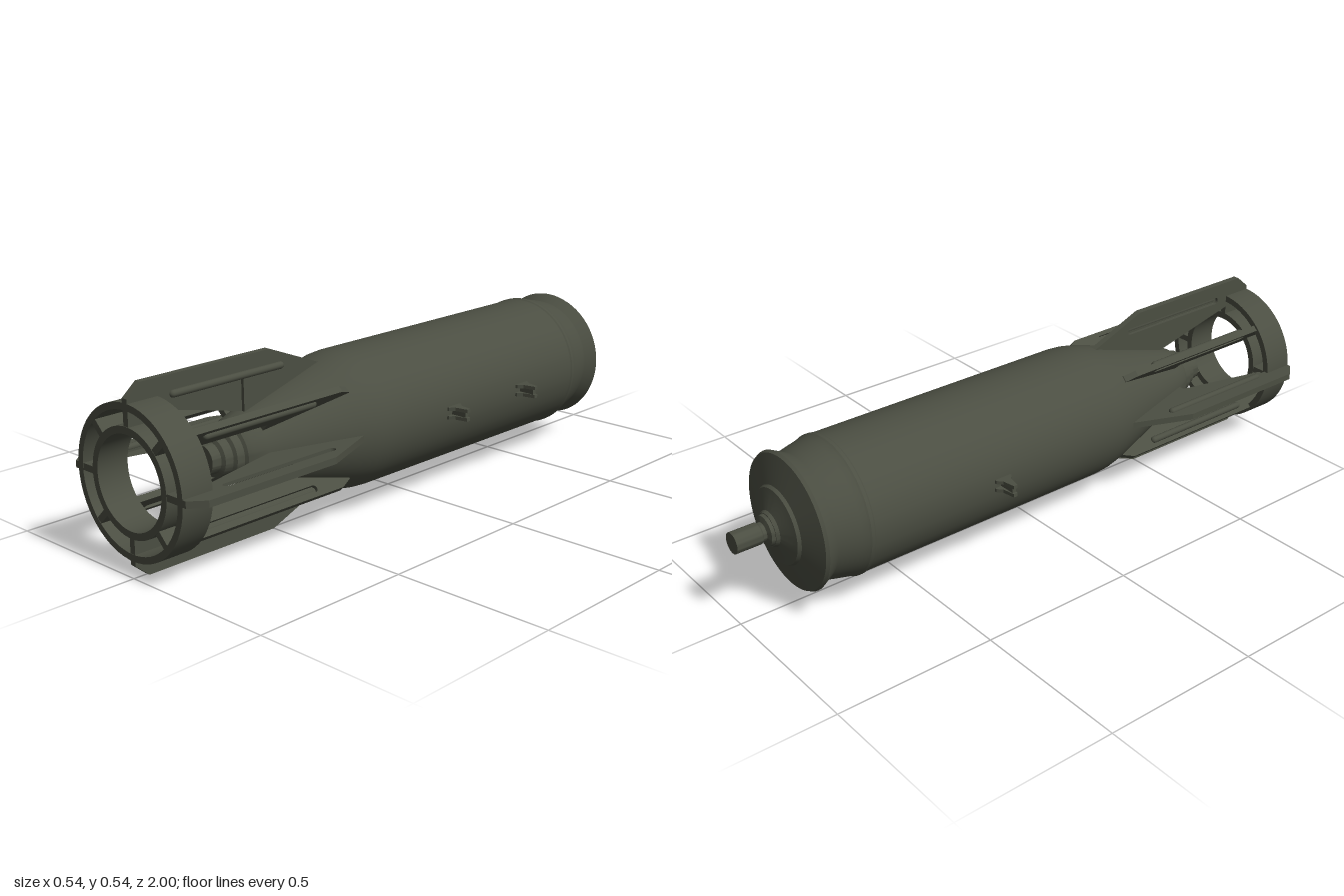
import * as THREE from 'three';
import { toCreasedNormals } from 'three/addons/utils/BufferGeometryUtils.js';

const AXIS_Y = 0.27;

export function createModel() {
  const model = new THREE.Group();
  const material = new THREE.MeshStandardMaterial({ color: 0x4b4e42 });
  const core = new THREE.Group();
  core.name = 'casing';
  core.position.y = AXIS_Y;
  model.add(core);

  const add = (parent, geometry, name) => {
    const mesh = new THREE.Mesh(geometry, material);
    mesh.name = name;
    parent.add(mesh);
    return mesh;
  };
  // Turned part about the z axis, from [radius, z] pairs
  const turned = (profile, segments = 64) => {
    const g = new THREE.LatheGeometry(profile.map(p => new THREE.Vector2(...p)), segments);
    g.rotateX(Math.PI / 2);
    return toCreasedNormals(g, 0.45);
  };
  // Flat plate in the radius/z plane, spanning y from low to low + thickness
  const plate = (shape, low, thickness) => {
    const g = new THREE.ExtrudeGeometry(shape, { depth: thickness, bevelEnabled: false, curveSegments: 8 });
    g.rotateX(Math.PI / 2);
    g.translate(0, low + thickness, 0);
    return g;
  };
  const outline = points => new THREE.Shape(points.map(p => new THREE.Vector2(...p)));

  // Main body with rounded shoulders and tapering tail cone
  add(core, turned([
    [0.15, -0.8], [0.19, -0.78], [0.196, -0.76], [0.207, -0.71], [0.212, -0.69],
    [0.215, -0.685], [0.215, -0.675], [0.212, -0.67], [0.212, 0.21], [0.209, 0.25],
    [0.201, 0.29], [0.19, 0.33], [0.165, 0.41], [0.138, 0.5], [0.108, 0.6],
    [0.095, 0.64], [0.085, 0.655], [0.075, 0.66], [0.073, 0.685], [0.062, 0.69],
    [0.058, 0.715], [0.046, 0.72], [0.044, 0.75], [0, 0.75],
  ]), 'body');

  // Flared nose cap and tip
  add(core, turned([
    [0, -0.89], [0.05, -0.89], [0.055, -0.88], [0.09, -0.868], [0.115, -0.862],
    [0.12, -0.852], [0.205, -0.828], [0.21, -0.818], [0.188, -0.775], [0, -0.775],
  ]), 'noseCap');
  add(core, turned([
    [0, -1], [0.032, -1], [0.032, -0.92], [0.028, -0.915], [0.028, -0.905],
    [0.045, -0.9], [0.05, -0.88], [0, -0.88],
  ], 32), 'noseTip');

  // Tail rings
  for (const [name, inner, outer] of [['outerTailRing', 0.2, 0.22], ['innerTailRing', 0.135, 0.156]]) {
    add(core, turned([[inner, 0.9], [outer, 0.9], [outer, 1], [inner, 1], [inner, 0.9]]), name);
  }

  // Long slot outline shared by the pressed grooves
  const slot = (radius, half, z0, z1) => {
    const path = new THREE.Path();
    path.absarc(radius, z1 - half, half, 0, Math.PI, false);
    path.absarc(radius, z0 + half, half, Math.PI, Math.PI * 2, false);
    path.closePath();
    return path;
  };
  // Fin with a bead raised on one side and sunk on the other
  const makeFin = (name, points, beadRadius, angle) => {
    const fin = new THREE.Group();
    fin.name = name;
    fin.rotation.z = angle;
    add(fin, plate(outline(points), -0.01, 0.01), 'finSheet');
    const grooved = outline(points);
    grooved.holes.push(slot(beadRadius, 0.011, 0.45, 0.86));
    add(fin, plate(grooved, 0, 0.01), 'groovedSheet');
    const bead = new THREE.CapsuleGeometry(0.011, 0.388, 6, 12);
    bead.rotateX(Math.PI / 2);
    bead.translate(beadRadius, -0.01, 0.655);
    add(fin, bead, 'bead');
    const spoke = new THREE.BoxGeometry(0.06, 0.02, 0.098);
    spoke.translate(0.178, 0, 0.95);
    add(fin, spoke, 'ringSpoke');
    core.add(fin);
  };

  const mainFin = [[0.11, 0.31], [0.194, 0.31], [0.27, 0.5], [0.27, 0.955],
    [0.232, 1], [0.205, 1], [0.205, 0.6], [0.108, 0.6]];
  const strutFin = [[0.11, 0.32], [0.195, 0.32], [0.213, 0.36], [0.213, 0.91],
    [0.136, 0.91], [0.136, 0.6], [0.108, 0.6]];
  for (let i = 0; i < 4; i++) {
    const angle = i * Math.PI / 2;
    makeFin('mainFin', mainFin, 0.215, angle);
    makeFin('diagonalFin', strutFin, 0.188, angle + Math.PI / 4);
  }

  // Suspension lugs: two tapered cheeks joined by a web
  const cheek = [[0.2, -0.03], [0.218, -0.028], [0.232, -0.014], [0.272, -0.007],
    [0.272, 0.007], [0.232, 0.014], [0.218, 0.028], [0.2, 0.03]];
  for (const [side, z] of [[1, -0.4], [1, -0.065], [-1, -0.225]]) {
    const lug = new THREE.Group();
    lug.name = side > 0 ? 'leftLug' : 'rightLug';
    lug.position.z = z;
    lug.rotation.z = side > 0 ? 0 : Math.PI;
    for (const low of [-0.019, 0.008]) add(lug, plate(outline(cheek), low, 0.011), 'lugCheek');
    const web = new THREE.BoxGeometry(0.06, 0.018, 0.012);
    web.translate(0.235, 0, 0);
    add(lug, web, 'lugWeb');
    core.add(lug);
  }

  return model;
}
